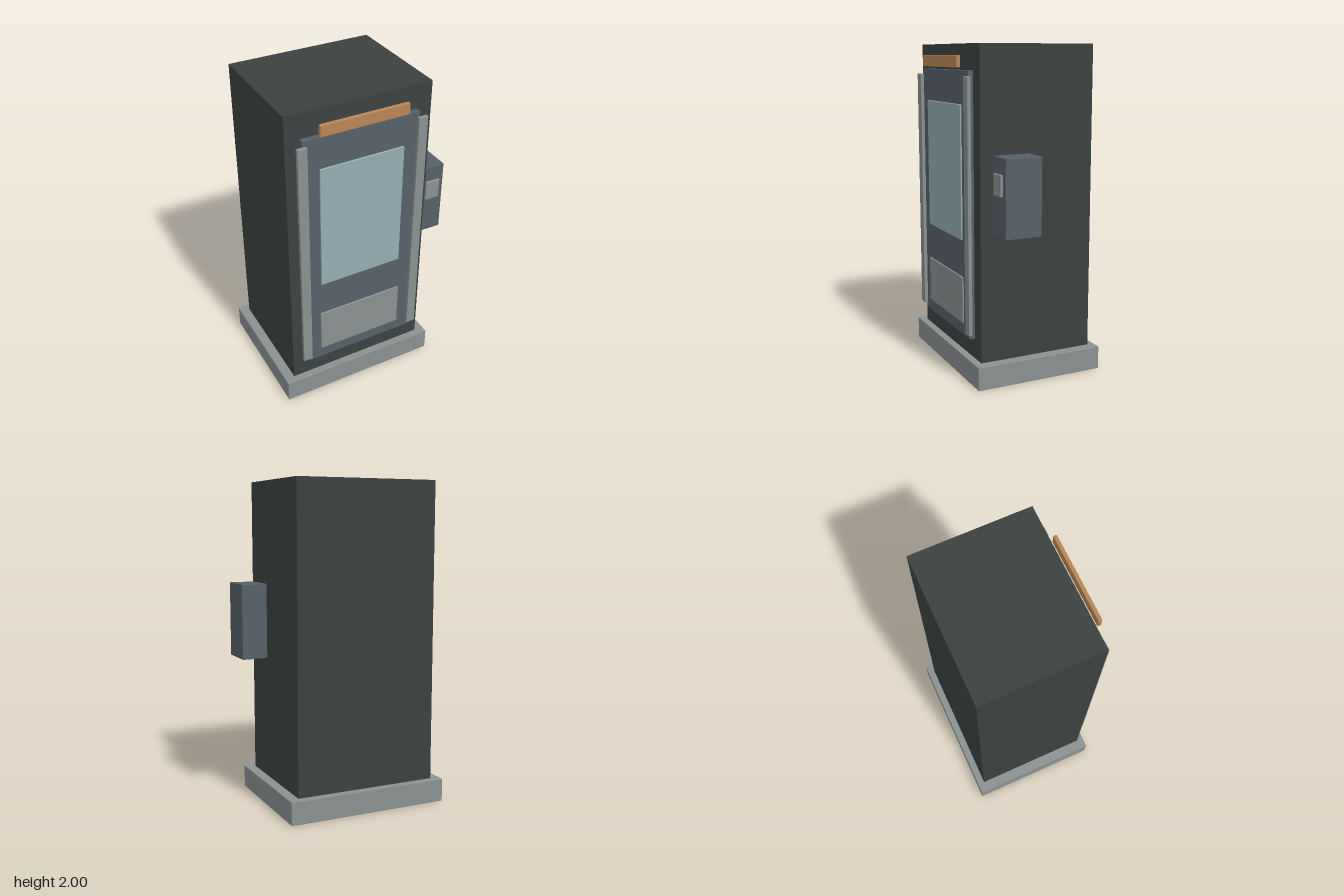
import * as THREE from 'three';
import { RoundedBoxGeometry } from 'three/addons/geometries/RoundedBoxGeometry.js';

const mat = (name, color) => {
  const m = new THREE.MeshStandardMaterial({ color });
  m.name = name;
  return m;
};

export function createModel() {
  const group = new THREE.Group();
  group.name = 'stove';
  const casing = mat('charcoal', 0x3c4241);
  const steel = mat('slate', 0x57606a);
  const stone = mat('grey', 0x8a9191);
  const glass = mat('glass', 0x94aeb2);
  const copper = mat('copper', 0xba8655);

  // Box between [min, max] bounds on each axis, with an optional softened edge
  function block(name, material, x, y, z, bevel = 0.004) {
    const [w, h, d] = [x, y, z].map(([a, b]) => b - a);
    const geometry = bevel
      ? new RoundedBoxGeometry(w, h, d, 2, bevel)
      : new THREE.BoxGeometry(w, h, d);
    const mesh = new THREE.Mesh(geometry, material);
    mesh.name = name;
    mesh.position.set(...[x, y, z].map(([a, b]) => (a + b) / 2));
    group.add(mesh);
  }

  // Plinth and main casing
  block('plinth', stone, [-0.576, 0.456], [0, 0.143], [-0.42, 0.4]);
  block('casing', casing, [-0.514, 0.394], [0.14, 2], [-0.375, 0.355], 0);

  // Door with window and lower panel
  block('door', steel, [-0.425, 0.305], [0.265, 1.85], [0.355, 0.388]);
  block('window', glass, [-0.328, 0.206], [0.853, 1.655], [0.384, 0.397]);
  block('lowerPanel', stone, [-0.336, 0.215], [0.342, 0.628], [0.384, 0.397]);

  // Vertical rails, mirrored about the door's centre line
  const doorCentre = -0.06;
  for (const [name, side] of [['rightRail', -1], ['leftRail', 1]]) {
    const x = doorCentre + side * 0.375;
    block(name, stone, [x - 0.03, x + 0.03], [0.3, 1.818], [0.388, 0.411]);
  }

  // Copper trim above the door
  block('topTrim', copper, [-0.334, 0.216], [1.864, 1.934], [0.397, 0.42]);

  // Control box at the side
  block('controlBox', steel, [0.414, 0.574], [0.916, 1.377], [0.054, 0.283]);
  block('controlPlate', stone, [0.445, 0.541], [1.157, 1.282], [0.283, 0.299]);

  return group;
}
